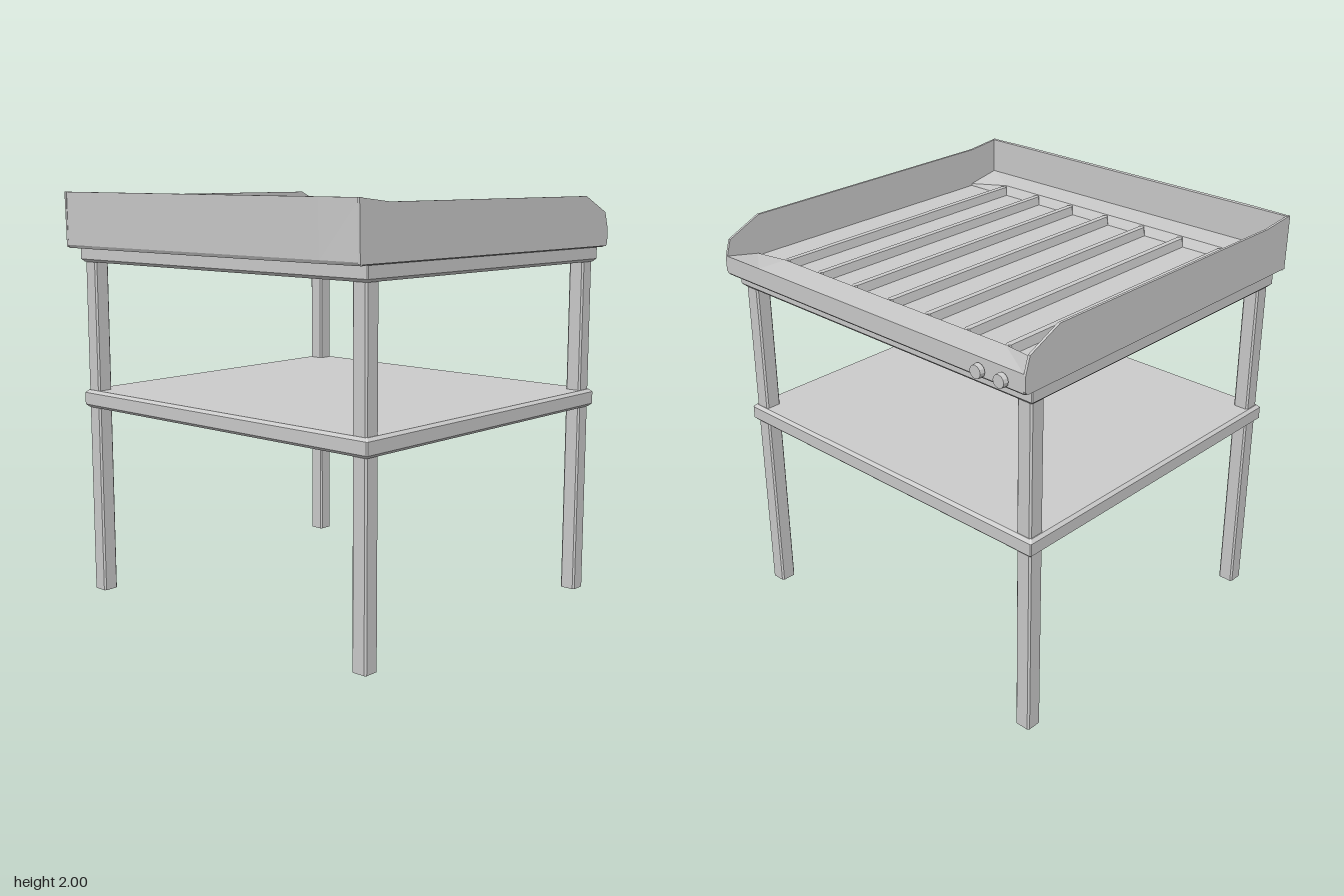
import * as THREE from 'three';

const material = new THREE.MeshStandardMaterial({ color: 0xcccccc, flatShading: true });

function addMesh(parent, name, geometry) {
  const mesh = new THREE.Mesh(geometry, material);
  mesh.name = name;
  parent.add(mesh);
  return mesh;
}

// Closed solid through rings of [x, y, z] points (counter-clockwise seen from the last ring's end)
function loft(rings) {
  const n = rings[0].length;
  const pos = [];
  const tri = (a, b, c) => pos.push(...a, ...b, ...c);
  for (let r = 0; r < rings.length - 1; r++) {
    for (let i = 0; i < n; i++) {
      const j = (i + 1) % n;
      const [a, b, c, d] = [rings[r][i], rings[r][j], rings[r + 1][j], rings[r + 1][i]];
      tri(a, b, c);
      tri(a, c, d);
    }
  }
  const first = rings[0], last = rings[rings.length - 1];
  for (let i = 1; i < n - 1; i++) {
    tri(first[0], first[i + 1], first[i]);
    tri(last[0], last[i], last[i + 1]);
  }
  const geometry = new THREE.BufferGeometry();
  geometry.setAttribute('position', new THREE.Float32BufferAttribute(pos, 3));
  geometry.computeVertexNormals();
  return geometry;
}

// Horizontal rectangle with clipped corners
function rectRing(y, hx, z0, z1, c) {
  return [
    [hx, z1 - c], [hx, z0 + c], [hx - c, z0], [-hx + c, z0],
    [-hx, z0 + c], [-hx, z1 - c], [-hx + c, z1], [hx - c, z1],
  ].map(([x, z]) => [x, y, z]);
}

// Slab with chamfered top and bottom edges
function slab(y0, y1, hx, z0, z1, b = 0.014) {
  const inset = (y) => rectRing(y, hx - b, z0 + b, z1 - b, 0.005);
  const full = (y) => rectRing(y, hx, z0, z1, 0.005);
  return loft([inset(y0), full(y0 + b), full(y1 - b), inset(y1)]);
}

export function createModel() {
  const model = new THREE.Group();
  model.name = 'griddleTable';

  // Legs
  for (const x of [-0.875, 0.875]) {
    for (const z of [-0.793, 0.815]) {
      const leg = addMesh(model, z > 0 ? 'frontLeg' : 'backLeg',
        loft([rectRing(0, 0.04, -0.04, 0.04, 0.008), rectRing(1.67, 0.04, -0.04, 0.04, 0.008)]));
      leg.position.set(x, 0, z);
    }
  }

  // Lower shelf and top frame
  addMesh(model, 'lowerShelf', slab(0.938, 1.025, 0.933, -0.85, 0.87));
  addMesh(model, 'topFrame', slab(1.66, 1.745, 0.933, -0.85, 0.87));

  // Tray floor
  addMesh(model, 'trayFloor', loft([
    rectRing(1.73, 0.938, -0.9, 0.925, 0.004),
    rectRing(1.74, 0.945, -0.91, 0.932, 0.004),
    rectRing(1.78, 0.945, -0.91, 0.932, 0.004),
  ]));

  // Raised decks behind and in front of the cooking floor, dipping at the corners
  const backDeck = [], frontDeck = [];
  for (const x of [-0.942, -0.7, 0.7, 0.942]) {
    const corner = Math.abs(x) > 0.8;
    backDeck.push([
      [x, 1.77, -0.73], [x, 1.77, -0.91], [x, 1.825, -0.91],
      corner ? [x, 1.79, -0.73] : [x, 1.825, -0.755],
    ]);
    frontDeck.push([
      [x, 1.77, 0.93], [x, 1.77, 0.74],
      corner ? [x, 1.79, 0.742] : [x, 1.825, 0.765],
      [x, 1.825, 0.93],
    ]);
  }
  addMesh(model, 'backDeck', loft(backDeck));
  addMesh(model, 'frontDeck', loft(frontDeck));

  // Ridges with pointed ends
  const ridgeRing = (y, w) => [
    [w, 0.745], [w, -0.735], [0, -0.757], [-w, -0.735], [-w, 0.745], [0, 0.767],
  ].map(([x, z]) => [x, y, z]);
  for (let i = -3; i <= 3; i++) {
    addMesh(model, 'ridge', loft([ridgeRing(1.775, 0.022), ridgeRing(1.822, 0.014)]))
      .position.x = i * 0.234;
  }

  // Side splash guards, sloping down at the back
  const side = new THREE.Shape([
    [-0.935, 1.735], [0.9, 1.735], [0.91, 1.75], [0.91, 1.82], [0.885, 1.9],
    [0.71, 1.98], [-0.75, 1.98], [-0.94, 2],
  ].map(([x, y]) => new THREE.Vector2(x, y)));
  for (const s of [-1, 1]) {
    const geometry = new THREE.ExtrudeGeometry(side, { depth: 0.012, bevelEnabled: false });
    geometry.rotateY(Math.PI / 2);
    addMesh(model, s > 0 ? 'leftGuard' : 'rightGuard', geometry).position.x = s > 0 ? 0.939 : -0.951;
  }

  // Front splash guard, bowed slightly outward along its top
  const guardRing = (y, zEnd, zMid) => [
    [0.948, zEnd], [0.948, 0.92], [-0.948, 0.92], [-0.948, zEnd], [-0.73, zMid], [0.73, zMid],
  ].map(([x, z]) => [x, y, z]);
  addMesh(model, 'frontGuard', loft([
    guardRing(1.73, 0.925, 0.93), guardRing(1.745, 0.935, 0.938), guardRing(2, 0.936, 0.944),
  ]));

  // Control knobs on the back edge
  for (const x of [-0.837, -0.71]) {
    const knob = new THREE.Group();
    knob.name = 'knob';
    knob.position.set(x, 1.772, 0);
    const stem = new THREE.CylinderGeometry(0.022, 0.022, 0.03, 12).rotateX(Math.PI / 2);
    const head = new THREE.CylinderGeometry(0.033, 0.03, 0.024, 12).rotateX(Math.PI / 2);
    addMesh(knob, 'knobStem', stem).position.z = -0.915;
    addMesh(knob, 'knobHead', head).position.z = -0.932;
    model.add(knob);
  }

  return model;
}
